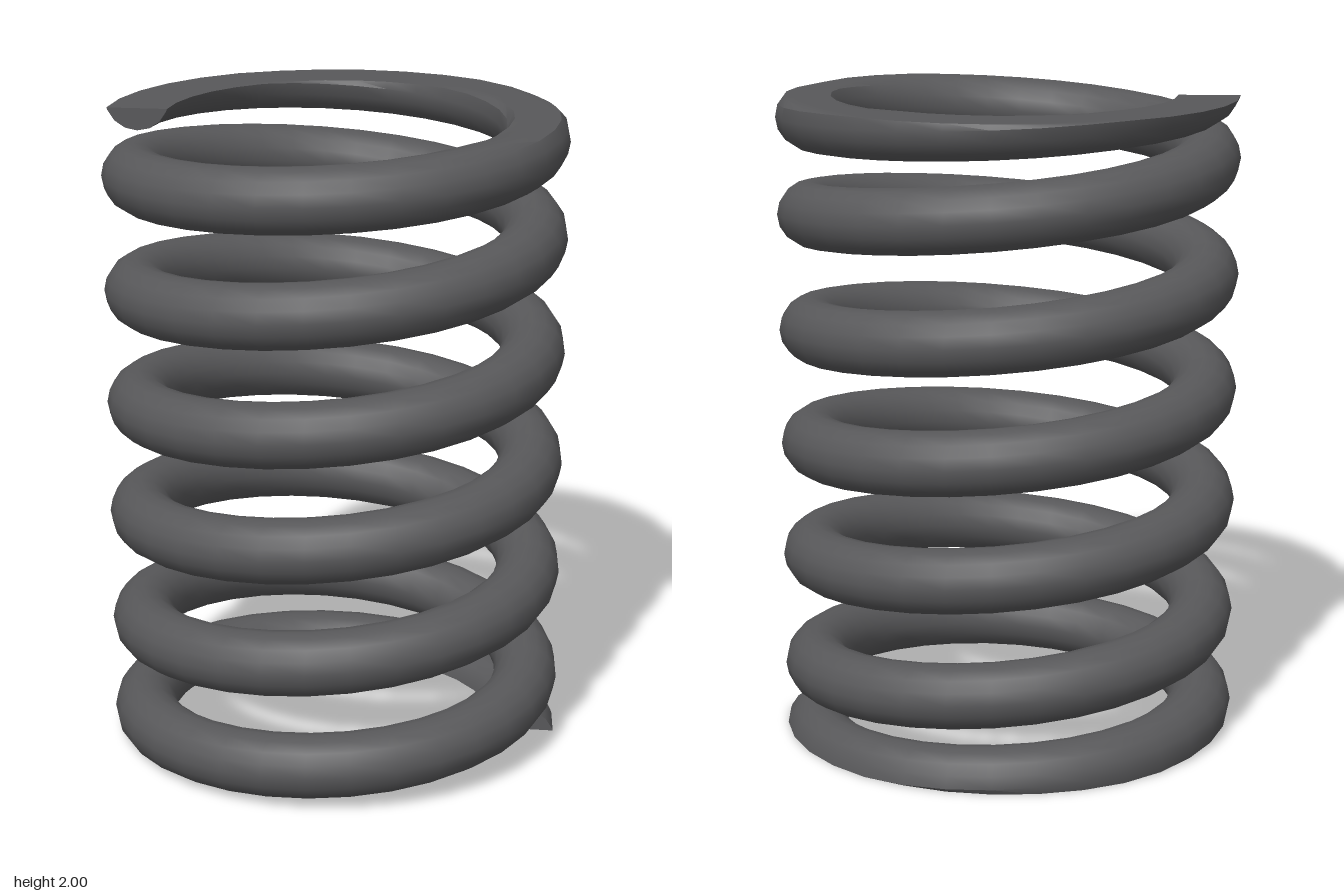
import * as THREE from 'three';
import { toCreasedNormals } from 'three/addons/utils/BufferGeometryUtils.js';

const COIL = 0.612, WIRE = 0.099, HEIGHT = 2;
const HALF_TURNS = 13, STEPS = 16, SIDES = 16;

// Height of the wire's centre after s half turns: even pitch, tighter at both ends
function centreHeight(s) {
  const squeeze = (t) => 0.14 * Math.pow(Math.max(0, 1 - t / 2), 1.3);
  return HEIGHT / 2 + 0.18 * (s - HALF_TURNS / 2) + squeeze(s) - squeeze(HALF_TURNS - s);
}

// Round wire swept along the helix, ground flat at the bottom and top
function coilGeometry() {
  const positions = [], index = [];
  const rings = HALF_TURNS * STEPS;
  for (let i = 0; i <= rings; i++) {
    const s = i / STEPS, angle = s * Math.PI, centre = centreHeight(s);
    for (let j = 0; j < SIDES; j++) {
      const phi = (j / SIDES) * Math.PI * 2;
      let u = WIRE * Math.cos(phi);
      let y = centre + WIRE * Math.sin(phi);
      const plane = THREE.MathUtils.clamp(y, 0, HEIGHT);
      if (plane !== y) {
        // slide the cut point onto the ground face
        const chord = Math.sqrt(Math.max(0, WIRE ** 2 - (centre - plane) ** 2));
        u = THREE.MathUtils.clamp(u, -chord, chord);
        y = plane;
      }
      positions.push((COIL + u) * Math.cos(angle), y, -(COIL + u) * Math.sin(angle));
    }
  }
  for (let i = 0; i < rings; i++) {
    for (let j = 0; j < SIDES; j++) {
      const k = (j + 1) % SIDES;
      const a = i * SIDES + j, b = i * SIDES + k;
      index.push(a, a + SIDES, b, b, a + SIDES, b + SIDES);
    }
  }
  // End faces of the wire
  const last = rings * SIDES;
  for (let j = 1; j < SIDES - 1; j++) {
    index.push(0, j, j + 1);
    index.push(last, last + j + 1, last + j);
  }
  const geometry = new THREE.BufferGeometry();
  geometry.setAttribute('position', new THREE.Float32BufferAttribute(positions, 3));
  geometry.setIndex(index);
  return toCreasedNormals(geometry, 0.6);
}

export function createModel() {
  const group = new THREE.Group();
  group.name = 'compressionSpring';
  const steel = new THREE.MeshStandardMaterial({ color: 0x58585a });
  steel.name = 'darkSteel';
  const coil = new THREE.Mesh(coilGeometry(), steel);
  coil.name = 'coil';
  group.add(coil);
  return group;
}
